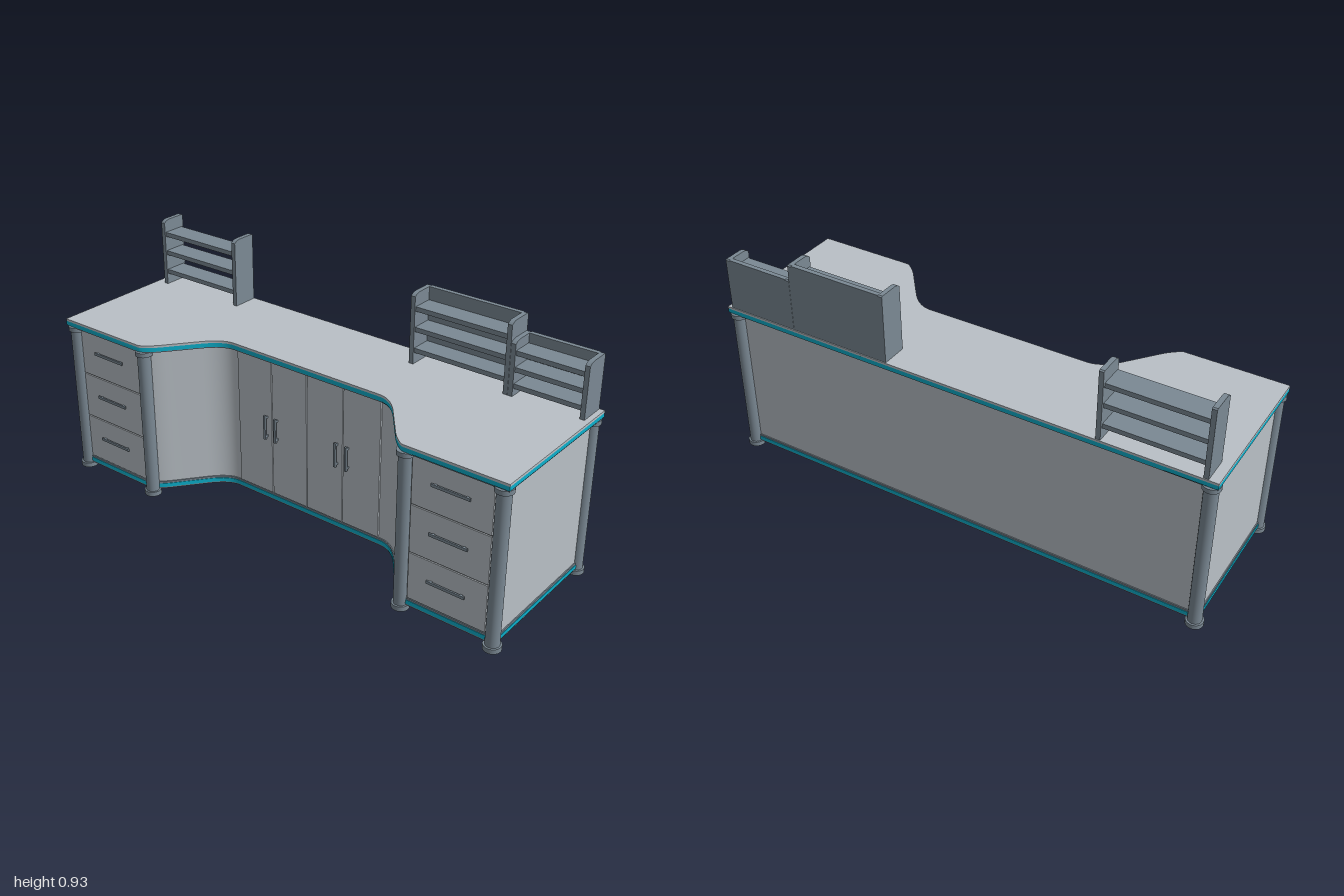
import * as THREE from 'three';
import { toCreasedNormals } from 'three/addons/utils/BufferGeometryUtils.js';

export function createModel() {
  const desk = new THREE.Group();
  desk.name = 'workDesk';
  const material = (name, color) => {
    const m = new THREE.MeshStandardMaterial({ color });
    m.name = name;
    return m;
  };
  const panel = material('lightGreyPanel', 0xb9c0c6);
  const slate = material('slateTrim', 0x7b8994);
  const teal = material('tealStripe', 0x0cb0cc);

  const add = (name, geometry, mat, parent = desk) => {
    const mesh = new THREE.Mesh(geometry, mat);
    mesh.name = name;
    parent.add(mesh);
    return mesh;
  };
  const box = (name, mat, x0, x1, y0, y1, z0, z1, parent) =>
    add(name, new THREE.BoxGeometry(x1 - x0, y1 - y0, z1 - z0), mat, parent)
      .position.set((x0 + x1) / 2, (y0 + y1) / 2, (z0 + z1) / 2);

  // Plan outline of the desk (x, z), drawn in by d, with an S-curve on each side of the recess
  function outline(d) {
    const s = d * 0.45;
    const half = new THREE.Path();
    half.moveTo(0.308 - d, 1 - d);
    half.lineTo(-0.308 + d, 1 - d);
    half.lineTo(-0.308 + d, 0.6 + s);
    half.quadraticCurveTo(-0.292 + d, 0.565 + s, -0.24 + d, 0.525 + s);
    half.lineTo(-0.14 + d, 0.445 + s);
    half.quadraticCurveTo(-0.07 + d, 0.39 + s, -0.07 + d, 0.335 + s);
    const pts = half.getPoints(10);
    const mirrored = pts.map(p => new THREE.Vector2(p.x, -p.y)).reverse();
    return new THREE.Shape([...pts, ...mirrored]);
  }
  function slab(name, mat, inset, y0, y1) {
    const g = new THREE.ExtrudeGeometry(outline(inset), { depth: y1 - y0, bevelEnabled: false });
    g.rotateX(Math.PI / 2).translate(0, y1, 0);
    add(name, toCreasedNormals(g, 0.5), mat);
  }

  // Plinth, cabinet body and worktop, stacked
  slab('plinth', slate, 0.02, 0.02, 0.05);
  slab('plinthStripe', teal, 0.018, 0.026, 0.042);
  slab('cabinetBody', panel, 0.024, 0.05, 0.625);
  slab('worktopUnderside', slate, 0.003, 0.622, 0.627);
  slab('worktopStripe', teal, 0, 0.627, 0.643);
  slab('worktop', panel, 0, 0.643, 0.652);

  // Round posts with feet and caps
  const posts = [[0.283, 0.969], [-0.283, 0.969], [-0.283, 0.6]];
  for (const side of [1, -1]) {
    for (const [x, z] of posts) {
      const post = new THREE.Group();
      post.name = 'post';
      post.position.set(x, 0, z * side);
      desk.add(post);
      const disc = (name, r, y0, y1) =>
        add(name, new THREE.CylinderGeometry(r, r, y1 - y0, 28), slate, post).position.y = (y0 + y1) / 2;
      disc('postShaft', 0.026, 0.01, 0.615);
      disc('postFoot', 0.033, 0, 0.019);
      disc('postCap', 0.033, 0.606, 0.624);
    }
  }

  // Three drawers with bar handles in each end pedestal
  for (const side of [1, -1]) {
    for (let i = 0; i < 3; i++) {
      const y = 0.054 + i * 0.189;
      const z = 0.785 * side;
      box('drawerFront', panel, -0.289, -0.283, y, y + 0.184, z - 0.155, z + 0.155);
      box('drawerHandle', slate, -0.301, -0.295, y + 0.1, y + 0.111, z - 0.075, z + 0.075);
      for (const o of [-0.06, 0.06])
        box('handleStandoff', slate, -0.296, -0.288, y + 0.102, y + 0.109, z + o - 0.004, z + o + 0.004);
    }
  }

  // Two pairs of cupboard doors in the recess
  const doorWidth = 0.168;
  for (let i = 0; i < 4; i++) {
    const z0 = (i - 2) * doorWidth;
    box('cupboardDoor', panel, -0.053, -0.045, 0.054, 0.618, z0 + 0.002, z0 + doorWidth - 0.002);
    const hz = i % 2 ? z0 + 0.025 : z0 + doorWidth - 0.025;
    box('doorHandle', slate, -0.071, -0.063, 0.29, 0.39, hz - 0.005, hz + 0.005);
    for (const y of [0.3, 0.38])
      box('handleStandoff', slate, -0.064, -0.052, y - 0.004, y + 0.004, hz - 0.004, hz + 0.004);
  }

  // Desktop shelf units: sides with a rounded front corner, boards and an optional back
  function shelfUnit(name, z0, z1, top, levels, hasBack) {
    const unit = new THREE.Group();
    unit.name = name;
    desk.add(unit);
    const base = 0.65, t = 0.018;
    const profile = new THREE.Shape();
    profile.moveTo(0.2, base);
    profile.lineTo(0.305, base);
    profile.lineTo(0.305, top - 0.004);
    profile.lineTo(0.3, top);
    profile.lineTo(0.228, top);
    profile.quadraticCurveTo(0.21, top - 0.001, 0.2, top - 0.012);
    profile.closePath();
    for (const z of [z0, z1 - t]) {
      const g = new THREE.ExtrudeGeometry(profile, { depth: t, bevelEnabled: false, curveSegments: 6 });
      add('shelfSide', toCreasedNormals(g, 0.5).translate(0, 0, z), slate, unit);
    }
    for (const y of levels)
      box('shelfBoard', slate, 0.205, 0.295, y - 0.009, y + 0.009, z0 + t, z1 - t, unit);
    if (hasBack) box('shelfBack', slate, 0.287, 0.305, base, top, z0 + t, z1 - t, unit);
  }
  shelfUnit('openShelf', -0.963, -0.563, 0.926, [0.705, 0.787, 0.866], false);
  shelfUnit('tallShelf', 0.272, 0.684, 0.926, [0.705, 0.787, 0.866], true);
  shelfUnit('lowShelf', 0.685, 0.98, 0.861, [0.69, 0.753, 0.815], true);

  return desk;
}
